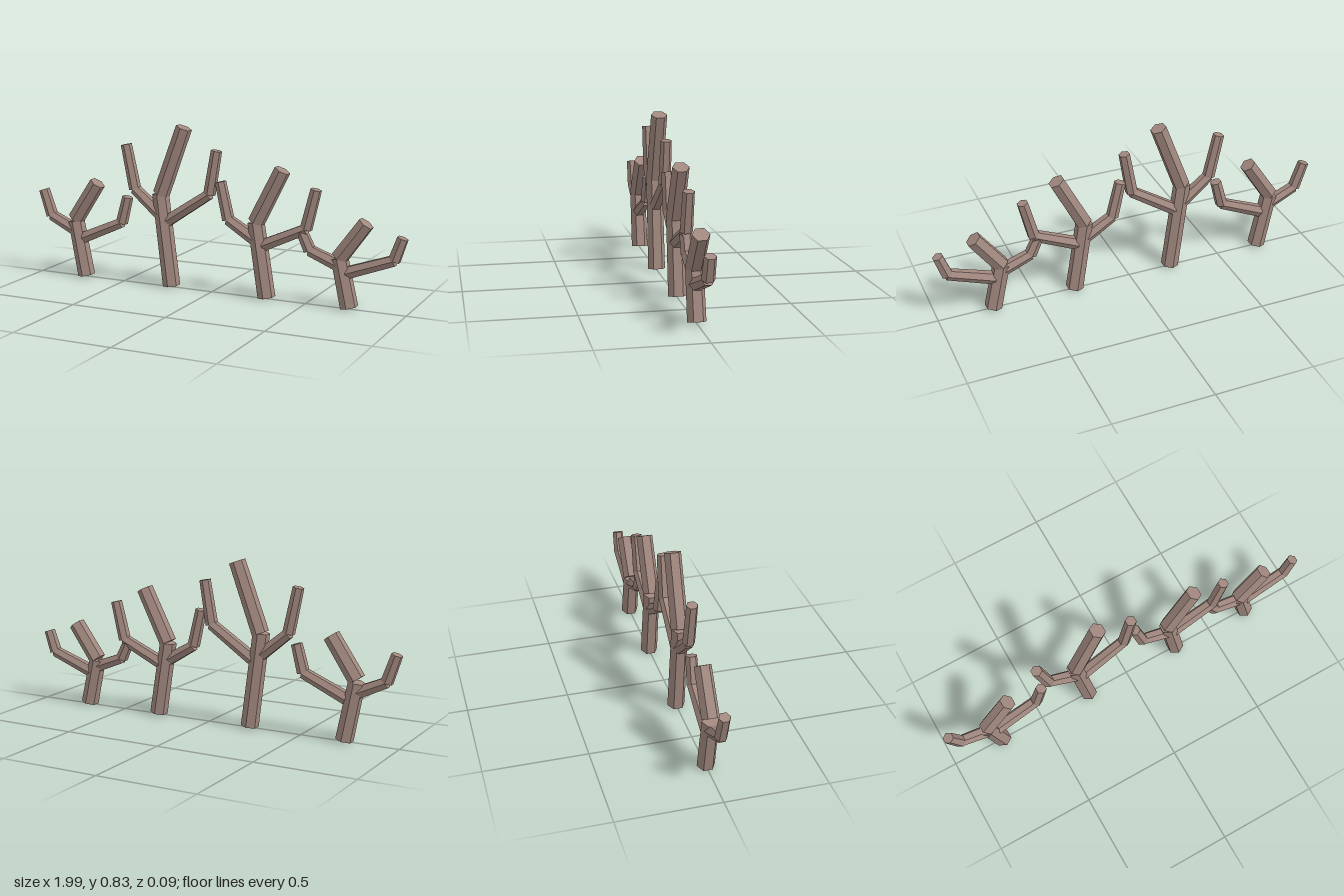
import * as THREE from 'three';

const bark = new THREE.MeshStandardMaterial({ color: 0xa1887f, flatShading: true });
bark.name = 'bark brown';

// Tapered six-sided limb between two points in the z = 0 plane
function limb(name, [x0, y0], [x1, y1], r0, r1) {
  const length = Math.hypot(x1 - x0, y1 - y0);
  const mesh = new THREE.Mesh(new THREE.CylinderGeometry(r1, r0, length, 6), bark);
  mesh.position.set((x0 + x1) / 2, (y0 + y1) / 2, 0);
  mesh.rotation.z = -Math.atan2(x1 - x0, y1 - y0);
  mesh.name = name;
  return mesh;
}

// Each branching stem: trunk (base, top), crown (base, tip), and arms (root, elbow, tip)
const stems = [
  {
    trunk: [[-0.727, 0.009], [-0.783, 0.295]], crown: [[-0.783, 0.305], [-0.65, 0.503]],
    left: [[-0.735, 0.21], [-0.51, 0.308], [-0.473, 0.445]],
    right: [[-0.778, 0.241], [-0.93, 0.31], [-0.976, 0.445]],
  },
  {
    trunk: [[-0.226, 0.009], [-0.285, 0.48]], crown: [[-0.28, 0.477], [-0.152, 0.817]],
    left: [[-0.243, 0.343], [-0.013, 0.495], [0.025, 0.714]],
    right: [[-0.29, 0.375], [-0.43, 0.49], [-0.478, 0.715]],
  },
  {
    trunk: [[0.296, 0.009], [0.237, 0.38]], crown: [[0.239, 0.38], [0.373, 0.643]],
    left: [[0.277, 0.268], [0.497, 0.368], [0.545, 0.563]],
    right: [[0.229, 0.295], [0.09, 0.378], [0.047, 0.563]],
  },
  {
    trunk: [[0.721, 0.01], [0.668, 0.246]], crown: [[0.668, 0.246], [0.796, 0.423]],
    left: [[0.705, 0.177], [0.935, 0.26], [0.973, 0.37]],
    right: [[0.668, 0.209], [0.518, 0.267], [0.475, 0.357]],
  },
];

export function createModel() {
  const model = new THREE.Group();
  model.name = 'branchRow';
  stems.forEach(({ trunk, crown, left, right }, i) => {
    const stem = new THREE.Group();
    stem.name = `branch${i + 1}`;
    stem.add(limb('trunk', ...trunk, 0.044, 0.042), limb('crown', ...crown, 0.043, 0.041));
    // Side arms: a sloping lower limb and an upright tip
    for (const [side, [root, elbow, tip]] of [['left', left], ['right', right]]) {
      stem.add(limb(`${side}Arm`, root, elbow, 0.033, 0.029));
      stem.add(limb(`${side}Tip`, elbow, tip, 0.031, 0.028));
    }
    model.add(stem);
  });
  return model;
}
